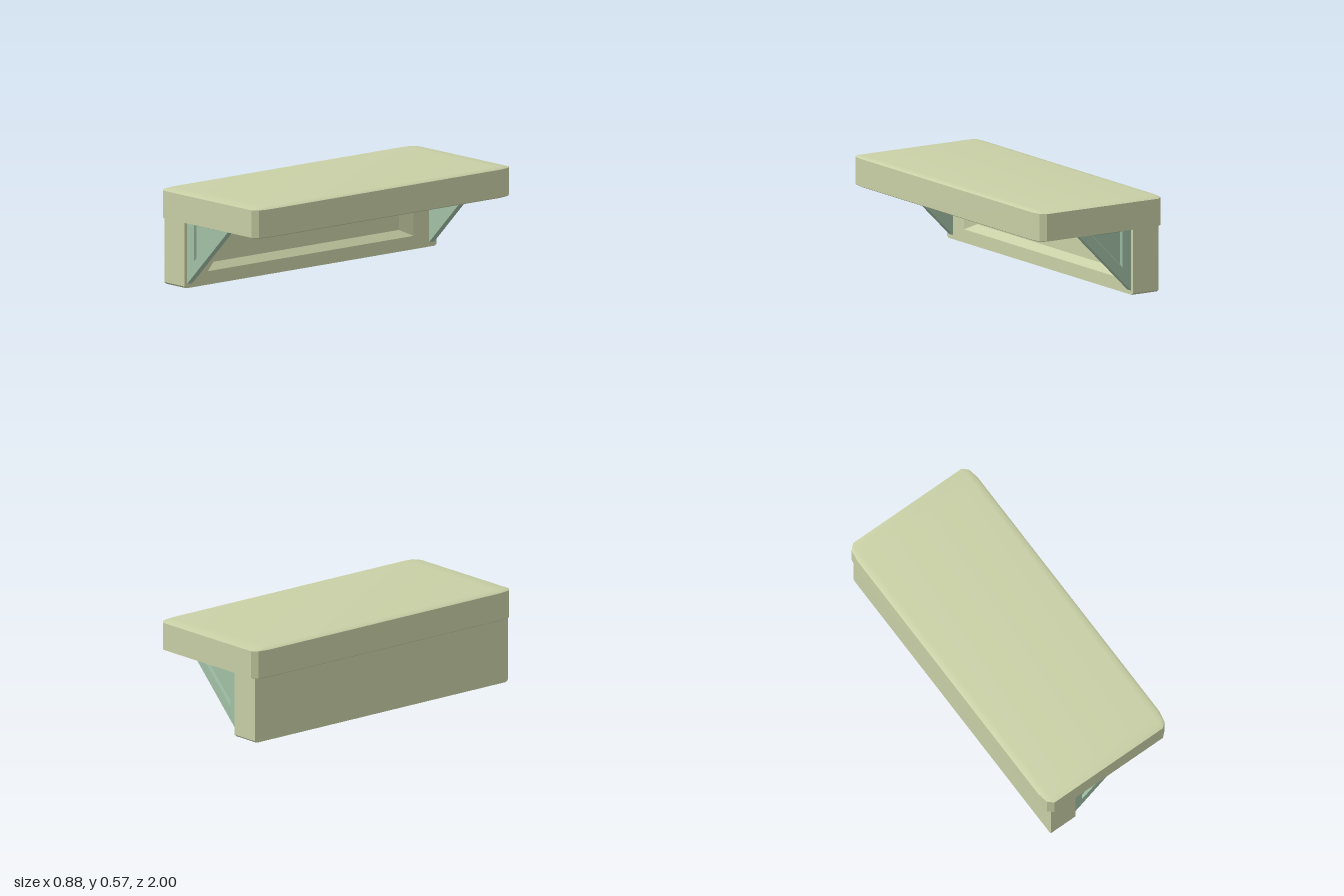
import * as THREE from 'three';
import { toCreasedNormals } from 'three/addons/utils/BufferGeometryUtils.js';
import { RoundedBoxGeometry } from 'three/addons/geometries/RoundedBoxGeometry.js';

const cream = new THREE.MeshStandardMaterial({ color: 0xc9d0a6 });
const green = new THREE.MeshStandardMaterial({ color: 0xa3c2a8 });

// Box with two-step bevels whose radius differs per axis
function bevelledBox(size, bevel) {
  const r = 0.005;
  const geo = new RoundedBoxGeometry(...size, 1, r);
  const pos = geo.attributes.position;
  for (let i = 0; i < pos.count; i++) {
    for (let a = 0; a < 3; a++) {
      const v = pos.getComponent(i, a);
      const t = (Math.abs(v) - (size[a] / 2 - r)) / r;
      pos.setComponent(i, a, Math.sign(v) * (size[a] / 2 - bevel[a] + t * bevel[a]));
    }
  }
  return toCreasedNormals(geo, Math.PI / 6);
}

// Skin through convex loops { pts, w } of equal length, running from back to front, capped at both ends
function loft(loops, sign = 1) {
  const rings = loops.map(({ pts, w }) => {
    const ring = pts.map(([u, v]) => new THREE.Vector3(u, v, w * sign));
    return sign < 0 ? ring.reverse() : ring;
  });
  const n = rings[0].length;
  const out = [];
  const tri = (a, b, c) => {
    if (new THREE.Triangle(a, b, c).getArea() < 1e-8) return;
    for (const p of [a, b, c]) out.push(p.x, p.y, p.z);
  };
  for (let k = 0; k + 1 < rings.length; k++) {
    const a = rings[k], b = rings[k + 1];
    for (let i = 0; i < n; i++) {
      const j = (i + 1) % n;
      tri(a[i], a[j], b[j]);
      tri(a[i], b[j], b[i]);
    }
  }
  const first = rings[0], last = rings[rings.length - 1];
  for (let i = 1; i + 1 < n; i++) {
    tri(first[0], first[i + 1], first[i]);
    tri(last[0], last[i], last[i + 1]);
  }
  const geo = new THREE.BufferGeometry();
  geo.setAttribute('position', new THREE.Float32BufferAttribute(out, 3));
  geo.computeVertexNormals();
  return geo;
}

// Counter-clockwise rectangle with chamfered corners (eight points)
function chamferedRect(halfWidth, y0, y1, cu, cv) {
  const h = halfWidth;
  return [
    [-h + cu, y0], [h - cu, y0], [h, y0 + cv], [h, y1 - cv],
    [h - cu, y1], [-h + cu, y1], [-h, y1 - cv], [-h, y0 + cv],
  ];
}

export function createModel() {
  const group = new THREE.Group();
  const add = (name, geo, mat) => {
    const mesh = new THREE.Mesh(geo, mat);
    mesh.name = name;
    group.add(mesh);
    return mesh;
  };

  // Shelf slab
  add('shelfTop', bevelledBox([0.876, 0.184, 2], [0.045, 0.01, 0.1]), cream).position.y = 0.48;

  // Back board with a sloped recessed panel facing +x
  const outline = chamferedRect(0.98, 0, 0.42, 0.015, 0.012);
  const board = loft([
    { pts: outline, w: -0.405 },
    { pts: outline, w: -0.225 },
    { pts: chamferedRect(0.8, 0.08, 0.34, 0, 0), w: -0.225 },
    { pts: chamferedRect(0.72, 0.12, 0.305, 0, 0), w: -0.265 },
  ]);
  add('backBoard', board, cream).rotation.y = Math.PI / 2;

  // Triangular brackets, recessed on their outer faces; their tops sit inside the slab
  const triangle = (x, top, rise) => [[x, x + rise], [top - rise, top], [x, top]];
  for (const [name, sign] of [['frontBracket', 1], ['rearBracket', -1]]) {
    add(name, loft([
      { pts: triangle(-0.225, 0.44, 0.25), w: 0.919 },
      { pts: triangle(-0.225, 0.44, 0.25), w: 0.961 },
      { pts: triangle(-0.165, 0.389, 0.332), w: 0.961 },
      { pts: triangle(-0.157, 0.381, 0.345), w: 0.946 },
    ], sign), green);
  }
  return group;
}
